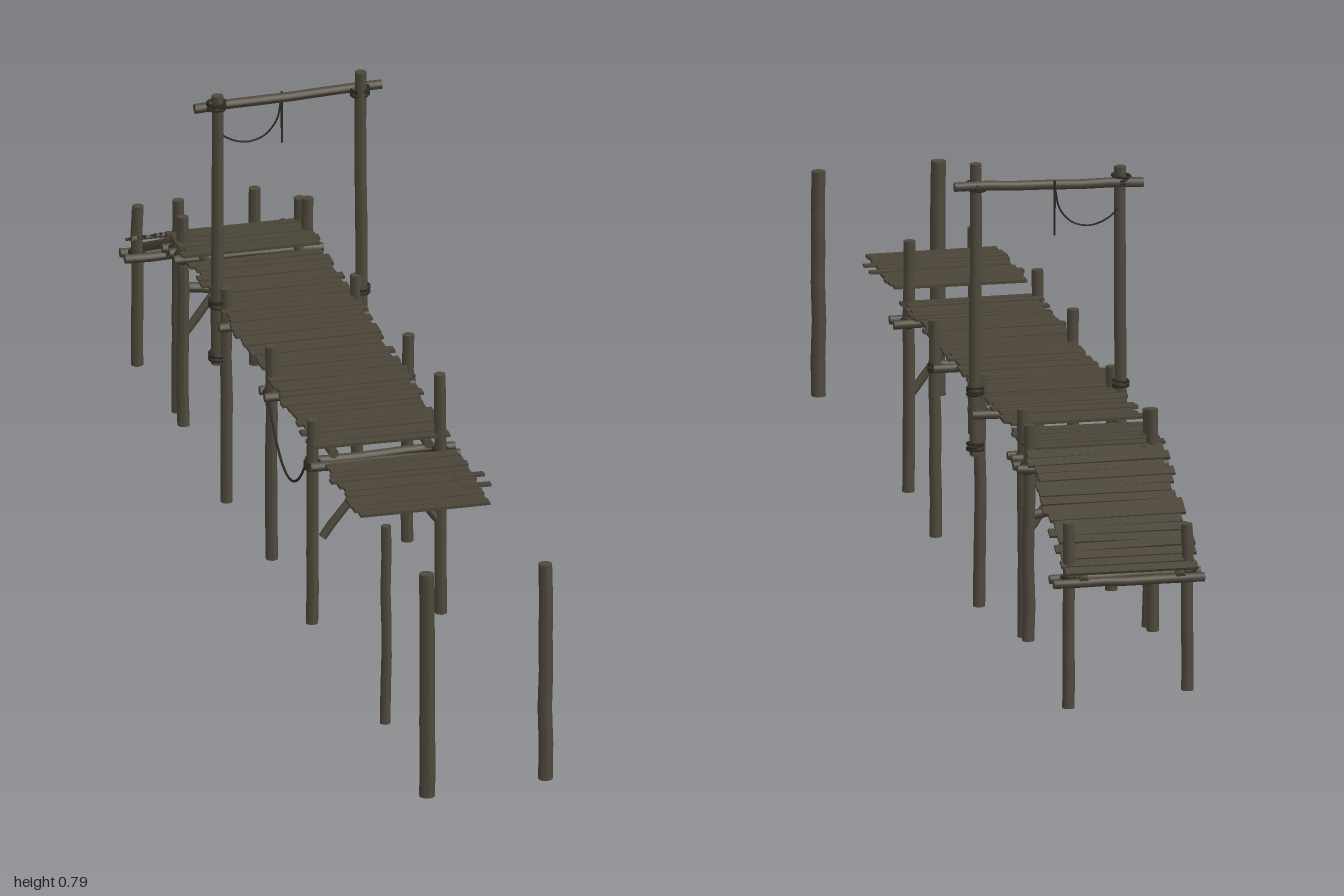
import * as THREE from 'three';

const wood = new THREE.MeshStandardMaterial({ color: 0x4f493c });
wood.name = 'weathered wood';
const board = new THREE.MeshStandardMaterial({ color: 0x4a4438 });
board.name = 'deck board wood';
const cord = new THREE.MeshStandardMaterial({ color: 0x2e2a23 });
cord.name = 'dark rope';

// Seeded random in -1..1
let seed = 7;
function rnd() {
  seed = (seed * 16807) % 2147483647;
  return (seed / 2147483647) * 2 - 1;
}

const V = (x, y, z) => new THREE.Vector3(x, y, z);
const UP = V(0, 1, 0);

function add(group, name, geometry, material) {
  const mesh = new THREE.Mesh(geometry, material);
  mesh.name = name;
  group.add(mesh);
  return mesh;
}

// Slightly crooked round log between two points
function log(group, name, a, b, r, wobble = 0.0012) {
  const dir = b.clone().sub(a);
  const geo = new THREE.CylinderGeometry(r * 0.94, r, dir.length(), 10, 6);
  const p = geo.attributes.position;
  const offsets = Array.from({ length: 7 }, () => [rnd() * wobble, rnd() * wobble]);
  for (let i = 0; i < p.count; i++) {
    const o = offsets[Math.round((p.getY(i) / dir.length() + 0.5) * 6)];
    p.setX(i, p.getX(i) + o[0]);
    p.setZ(i, p.getZ(i) + o[1]);
  }
  geo.computeVertexNormals();
  const mesh = add(group, name, geo, wood);
  mesh.position.copy(a).add(b).multiplyScalar(0.5);
  mesh.quaternion.setFromUnitVectors(UP, dir.normalize());
  return mesh;
}

const post = (group, name, x, z, y0, y1, r) =>
  log(group, name, V(x, y0, z), V(x + rnd() * 0.002, y1, z + rnd() * 0.002), r);

// Three turns of rope round a post
function lashing(group, x, y, z, r) {
  for (let i = -1; i <= 1; i++) {
    const ring = add(group, 'lashing', new THREE.TorusGeometry(r + 0.001, 0.0026, 6, 14), cord);
    ring.rotation.set(Math.PI / 2 + rnd() * 0.15, rnd() * 0.15, 0);
    ring.position.set(x, y + i * 0.005, z);
  }
}

function rope(group, name, points, r = 0.0016) {
  add(group, name, new THREE.TubeGeometry(new THREE.CatmullRomCurve3(points), 28, r, 6), cord);
}

// Row of uneven boards from one (z, y) to another
function boards(group, name, z0, y0, z1, y1, count, x0 = -0.121, x1 = 0.111) {
  const set = new THREE.Group();
  set.name = name;
  const len = Math.hypot(z1 - z0, y1 - y0), step = len / count;
  for (let i = 0; i < count; i++) {
    const t = (i + 0.5) / count;
    const a = x0 + rnd() * 0.008, b = x1 + rnd() * 0.007;
    const geo = new THREE.BoxGeometry(b - a, 0.005, step * (0.9 + rnd() * 0.07));
    const m = add(set, 'board', geo, board);
    m.position.set((a + b) / 2, y0 + (y1 - y0) * t + rnd() * 0.0008, z0 + (z1 - z0) * t);
    m.rotation.set(-Math.atan2(y1 - y0, z1 - z0) + rnd() * 0.02, rnd() * 0.012, rnd() * 0.006);
  }
  group.add(set);
}

export function createModel() {
  const model = new THREE.Group();
  model.name = 'wooden pier';
  seed = 7;

  // Lone mooring posts at the broken end
  post(model, 'lonePost', -0.105, 0.985, 0.03, 0.437, 0.0135);
  post(model, 'lonePost', 0.1, 0.985, 0.04, 0.432, 0.0125);
  post(model, 'lonePost', -0.1, 0.685, 0.04, 0.4, 0.009);

  // Support frames: z, left x, right x, bottoms, tops, beam height
  const frames = [
    { z: 0.28, x: [-0.123, 0.1], y0: [0.06, 0.055], y1: [0.43, 0.492], beam: 0.35 },
    { z: -0.03, x: [-0.113, 0.122], y0: [0.05, 0.058], y1: [0.44, 0.435], beam: 0.352 },
    { z: -0.335, x: [-0.114, 0.114], y0: [0.03, 0.015], y1: [0.42, 0.42], beam: 0.352 },
    { z: -0.64, x: [-0.11, 0.105], y0: [0.045, 0.04], y1: [0.425, 0.437], beam: 0.352 },
    { z: -0.685, x: [-0.108, 0.107], y0: [0.05, 0.045], y1: [0.437, 0.42], beam: 0.345 },
    { z: -0.968, x: [-0.105, 0.1], y0: [0.02, 0], y1: [0.31, 0.322], beam: 0.222 },
  ];
  for (const f of frames) {
    const frame = new THREE.Group();
    frame.name = 'supportFrame';
    f.x.forEach((x, i) => {
      post(frame, 'post', x, f.z, f.y0[i], f.y1[i], 0.0105);
      lashing(frame, x, f.beam, f.z, 0.0115);
    });
    for (const side of [-1, 1]) {
      log(frame, 'crossBeam', V(-0.13, f.beam + rnd() * 0.003, f.z + side * 0.016),
        V(0.13, f.beam + rnd() * 0.003, f.z + side * 0.016), 0.008);
    }
    model.add(frame);
  }

  // Diagonal braces under the end frames
  for (const z of [0.28, -0.64]) {
    for (const s of [-1, 1]) {
      log(model, 'brace', V(s * 0.105, 0.215, z), V(s * 0.008, 0.343, z), 0.0075);
    }
  }
  log(model, 'tieBeam', V(-0.11, 0.288, -0.662), V(0.105, 0.256, -0.662), 0.009);

  // Long stringers under the deck and ramp
  for (const x of [-0.088, 0.078]) {
    log(model, 'stringer', V(x, 0.37, 0.29), V(x, 0.37, -0.7), 0.0085);
    log(model, 'rampStringer', V(x, 0.361, -0.69), V(x, 0.225, -0.99), 0.0085);
  }

  // Decking, ramp and the detached length beyond the gap
  boards(model, 'mainDeck', 0.292, 0.382, -0.54, 0.382, 40);
  boards(model, 'rearDeck', -0.568, 0.382, -0.69, 0.378, 6);
  boards(model, 'ramp', -0.69, 0.376, -0.998, 0.237, 16);
  boards(model, 'detachedDeck', 0.37, 0.385, 0.6, 0.385, 11, -0.126, 0.104);
  for (const z of [0.477, 0.522]) {
    const stray = add(model, 'strayBoard', new THREE.BoxGeometry(0.05, 0.004, 0.014), board);
    stray.position.set(0.1, 0.387, z);
  }

  // Tall gate spliced to the middle frame
  const gate = new THREE.Group();
  gate.name = 'gate';
  for (const [x, top] of [[-0.127, 0.77], [0.123, 0.788]]) {
    post(gate, 'gatePost', x, -0.343, 0.28, top, 0.0105);
    for (const y of [0.295, 0.392]) lashing(gate, x, y, -0.341, 0.0125);
    lashing(gate, x, 0.75, -0.349, 0.014);
  }
  log(gate, 'gateCrossbar', V(-0.163, 0.744, -0.358), V(0.163, 0.754, -0.358), 0.0085);
  rope(gate, 'gateRope', [V(-0.125, 0.705, -0.35), V(-0.112, 0.69, -0.353), V(-0.09, 0.678, -0.356),
    V(-0.068, 0.674, -0.358), V(-0.04, 0.682, -0.36), V(-0.018, 0.707, -0.363), V(-0.009, 0.745, -0.367)]);
  rope(gate, 'hangingRope', [V(-0.009, 0.757, -0.365), V(-0.008, 0.71, -0.368), V(-0.008, 0.662, -0.367)], 0.002);
  model.add(gate);

  // Slack rope slung between two posts on one side
  const sag = [];
  for (let i = 0; i <= 8; i++) {
    const t = i / 8;
    sag.push(V(-0.13 + t * 0.008, 0.352 - 0.086 * (1 - (2 * t - 1) ** 2), 0.27 - t * 0.29));
  }
  rope(model, 'sideRope', sag, 0.0022);

  return model;
}
